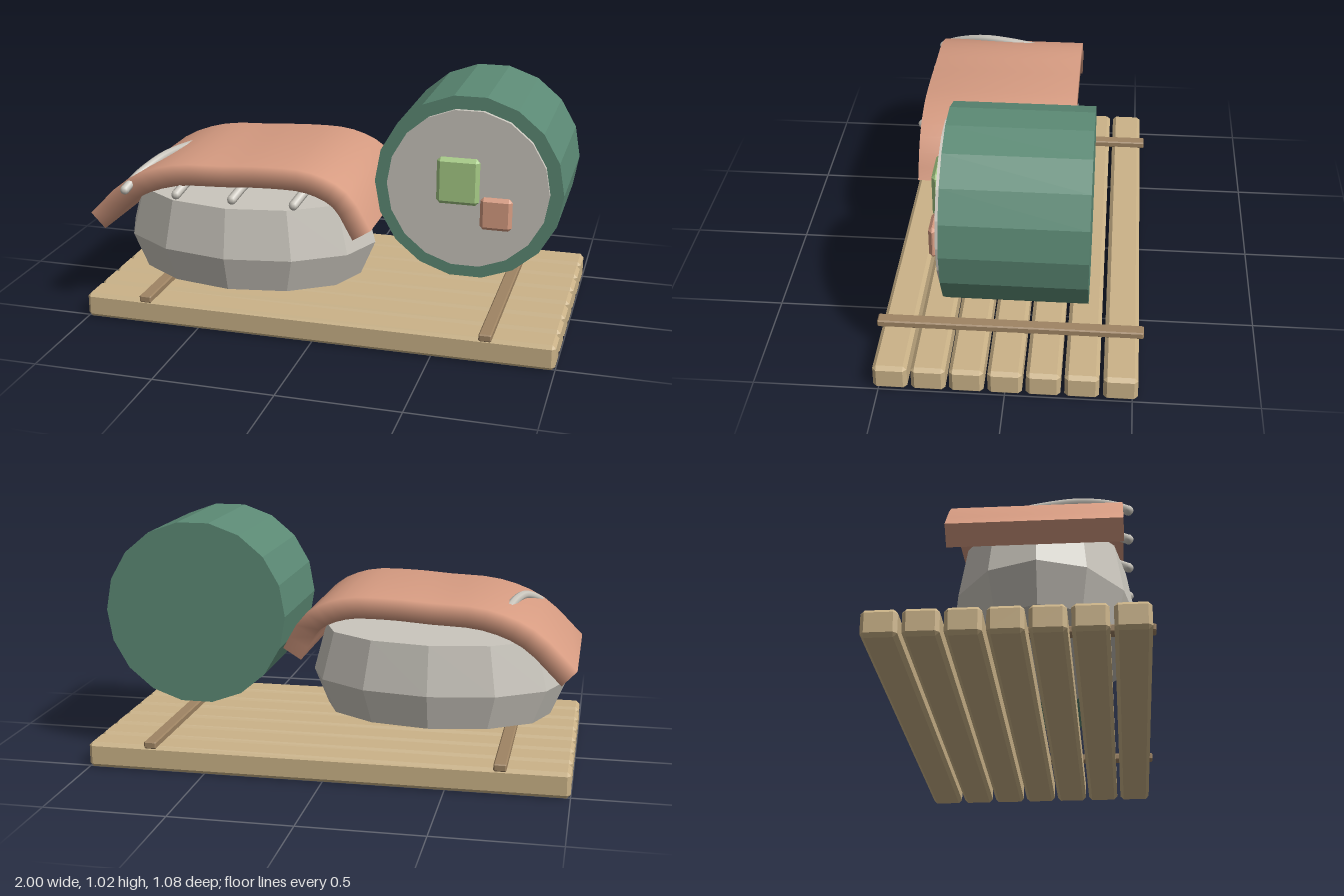
import * as THREE from 'three';
import { ConvexGeometry } from 'three/addons/geometries/ConvexGeometry.js';

const mat = (name, color) => {
  const m = new THREE.MeshStandardMaterial({ color });
  m.name = name;
  return m;
};

// Facet a geometry
function flat(geo) {
  const g = geo.index ? geo.toNonIndexed() : geo;
  g.computeVertexNormals();
  return g;
}

// Box with every edge chamfered by b
function chamferBox(w, h, d, b) {
  const pts = [];
  for (const x of [-1, 1]) for (const y of [-1, 1]) for (const z of [-1, 1]) {
    for (const [i, j, k] of [[0, 1, 1], [1, 0, 1], [1, 1, 0]]) {
      pts.push(new THREE.Vector3(x * (w / 2 - i * b), y * (h / 2 - j * b), z * (d / 2 - k * b)));
    }
  }
  return new ConvexGeometry(pts);
}

// Faceted cylinder lying along z, with a corner on the x axis
function drumGeometry(r, depth) {
  return flat(new THREE.CylinderGeometry(r, r, depth, 18, 1, false, Math.PI / 2).rotateX(Math.PI / 2));
}

// Bent slab: one four-cornered section per step, softly shaded, with flat ends
function slabGeometry(path, steps, half, zBack, zFront) {
  const curve = new THREE.CatmullRomCurve3(path.map(([x, y]) => new THREE.Vector3(x, y, 0)));
  const pos = [], idx = [];
  for (let i = 0; i <= steps; i++) {
    const p = curve.getPoint(i / steps), t = curve.getTangent(i / steps);
    const nx = -t.y * half, ny = t.x * half;
    pos.push(p.x + nx, p.y + ny, zFront, p.x + nx, p.y + ny, zBack,
      p.x - nx, p.y - ny, zBack, p.x - nx, p.y - ny, zFront);
  }
  for (let i = 0; i < steps; i++) {
    for (let k = 0; k < 4; k++) {
      const a = i * 4 + k, b = i * 4 + (k + 1) % 4;
      idx.push(a, a + 4, b, b, a + 4, b + 4);
    }
  }
  // end faces use their own corners
  const n = pos.length / 3, last = steps * 4;
  pos.push(...pos.slice(0, 12), ...pos.slice(last * 3, last * 3 + 12));
  idx.push(n, n + 1, n + 2, n, n + 2, n + 3);
  idx.push(n + 4, n + 6, n + 5, n + 4, n + 7, n + 6);
  const g = new THREE.BufferGeometry();
  g.setAttribute('position', new THREE.Float32BufferAttribute(pos, 3));
  g.setIndex(idx);
  g.computeVertexNormals();
  return g;
}

export function createModel() {
  const group = new THREE.Group();
  const wood = mat('pale wood', 0xcbb388);
  const darkWood = mat('dark wood', 0x9f8463);
  const teal = mat('teal', 0x5c8a75);
  const copper = mat('salmon', 0xd79c82);
  const stone = mat('pale grey', 0xcac6bd);
  const green = mat('light green', 0xa6cb86);

  const add = (name, geo, material, x = 0, y = 0, z = 0) => {
    const m = new THREE.Mesh(geo, material);
    m.name = name;
    m.position.set(x, y, z);
    group.add(m);
    return m;
  };

  // Slatted base
  const plank = chamferBox(2, 0.108, 0.136, 0.015);
  for (let i = -3; i <= 3; i++) add('plank', plank, wood, 0, 0.054, i * 0.151);
  const bar = chamferBox(0.052, 0.031, 1.08, 0.005);
  for (const s of [-1, 1]) add('crossBar', bar, darkWood, s * 0.722, 0.1185, 0);

  // Faceted oval block
  const profile = [[0, 0.16], [0.885, 0.16], [1, 0.31], [0.9, 0.52], [0, 0.52]]
    .map(([r, y]) => new THREE.Vector2(r, y));
  const block = new THREE.LatheGeometry(profile, 12).scale(0.557, 1, 0.367);
  add('ovalBlock', flat(block), stone, -0.39, 0, 0.107);

  // Draped slab over the block
  const path = [[-0.97, 0.41], [-0.8, 0.57], [-0.62, 0.64], [-0.4, 0.656],
    [-0.2, 0.668], [-0.03, 0.66], [0.1, 0.6], [0.19, 0.457]];
  add('drapedSlab', slabGeometry(path, 21, 0.045, -0.225, 0.43), copper);

  // Curved stripes, most of each sunk into the slab
  const arc = new THREE.CatmullRomCurve3([
    [0.13, 0.645, 0], [0.11, 0.656, 0.12], [0.08, 0.652, 0.25], [0.03, 0.61, 0.38], [0, 0.567, 0.45],
  ].map((p) => new THREE.Vector3(...p)));
  const stripe = new THREE.TubeGeometry(arc, 16, 0.02, 8);
  const tip = new THREE.SphereGeometry(0.02, 8, 6);
  for (const x of [-0.83, -0.6, -0.355, -0.09]) {
    add('stripe', stripe, stone, x);
    add('stripeTip', tip, stone, x, 0.567, 0.45);
  }

  // Drum with its front disc
  add('drum', drumGeometry(0.388, 0.56), teal, 0.585, 0.635, -0.035);
  add('drumDisc', drumGeometry(0.333, 0.03), stone, 0.585, 0.635, 0.248);

  // Plates in front of the disc
  add('greenPlate', chamferBox(0.175, 0.195, 0.035, 0.015), green, 0.553, 0.678, 0.293);
  add('salmonPlate', chamferBox(0.13, 0.136, 0.033, 0.014), copper, 0.711, 0.552, 0.294);

  return group;
}
